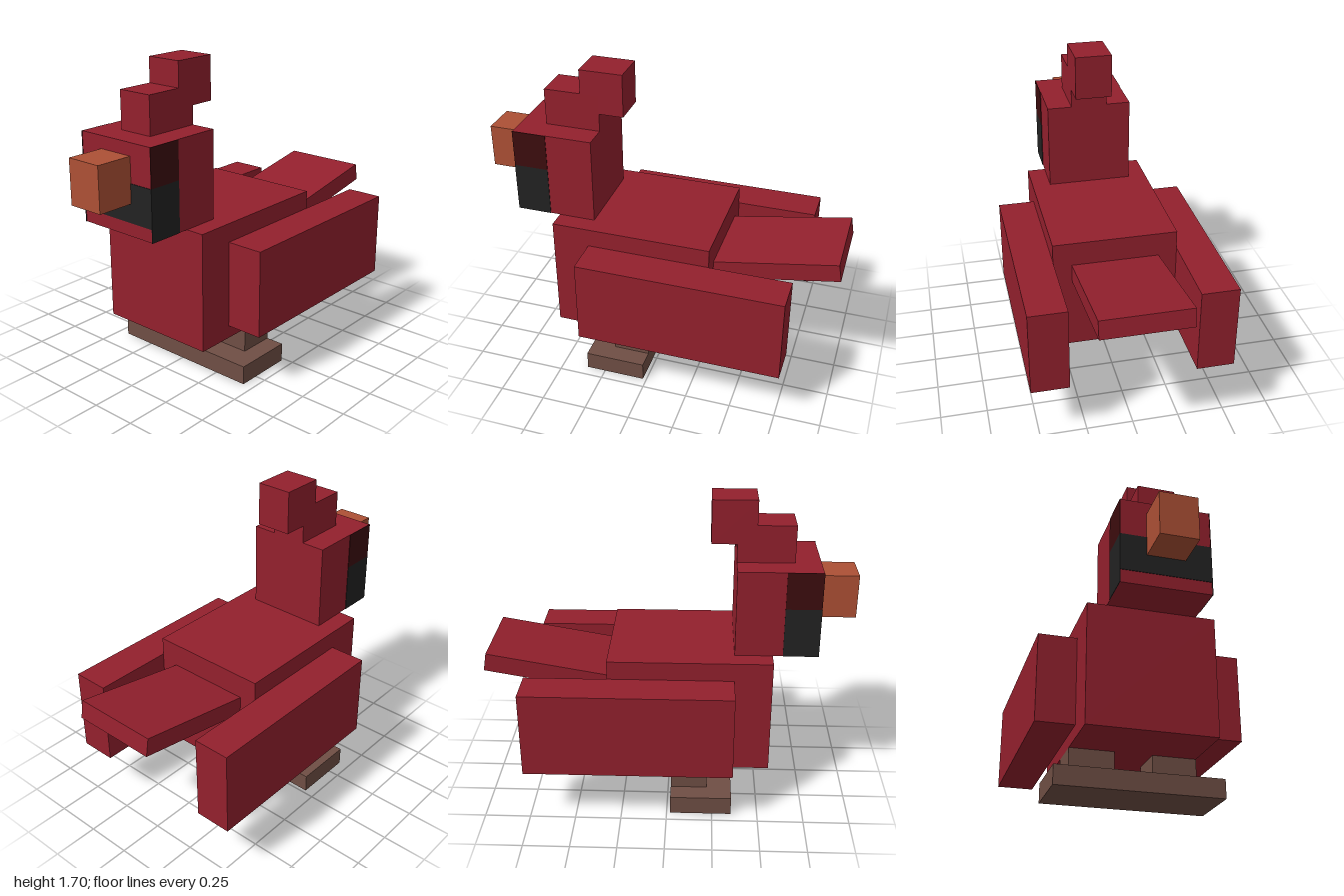
import * as THREE from 'three';

const mat = (name, color) => {
  const m = new THREE.MeshStandardMaterial({ color });
  m.name = name;
  return m;
};

export function createModel() {
  const red = mat('red plumage', 0x93202d);
  const maroon = mat('dark maroon', 0x3c0c0e);
  const black = mat('black', 0x222222);
  const orange = mat('beak orange', 0xad5035);
  const brown = mat('leg brown', 0x6f4e44);
  const model = new THREE.Group();
  model.name = 'bird';

  // Box given by its extents along each axis
  const box = (name, material, [x0, x1], [y0, y1], [z0, z1]) => {
    const mesh = new THREE.Mesh(new THREE.BoxGeometry(x1 - x0, y1 - y0, z1 - z0), material);
    mesh.position.set((x0 + x1) / 2, (y0 + y1) / 2, (z0 + z1) / 2);
    mesh.name = name;
    model.add(mesh);
    return mesh;
  };

  // Body, head and beak
  box('body', red, [-0.337, 0.337], [0.24, 0.885], [-0.32, 0.557]);
  box('head', red, [-0.235, 0.235], [0.885, 1.36], [0.355, 0.797]);
  box('beak', orange, [-0.1, 0.1], [1.055, 1.293], [0.797, 1]);

  // Stepped comb
  box('combFront', red, [-0.1, 0.1], [1.36, 1.563], [0.355, 0.66]);
  box('combBack', red, [-0.1, 0.1], [1.46, 1.697], [0.22, 0.457]);

  // Painted face band across the front
  box('faceBand', black, [-0.235, 0.235], [0.955, 1.157], [0.796, 0.8]);

  // Foot slab shared by both legs
  box('feet', brown, [-0.44, 0.44], [0, 0.103], [0.02, 0.355]);

  // Mirrored wings, legs and cheek patches
  for (const [side, s] of [['left', 1], ['right', -1]]) {
    const span = (a, b) => (s > 0 ? [a, b] : [-b, -a]);
    box(side + 'Wing', red, span(0.337, 0.54), [0.31, 0.783], [-0.765, 0.355]);
    box(side + 'Leg', brown, span(0.1, 0.337), [0.103, 0.24], [0.02, 0.22]);
    box(side + 'CheekLower', black, span(0.234, 0.238), [0.885, 1.157], [0.61, 0.8]);
    box(side + 'CheekUpper', maroon, span(0.234, 0.238), [1.157, 1.36], [0.61, 0.799]);
  }

  // Tail plate tilted up toward the rear
  const tail = box('tail', red, [-0.237, 0.237], [-0.05, 0.05], [-0.34, 0.34]);
  tail.position.set(0, 0.76, -0.654);
  tail.rotation.x = THREE.MathUtils.degToRad(10);

  return model;
}
